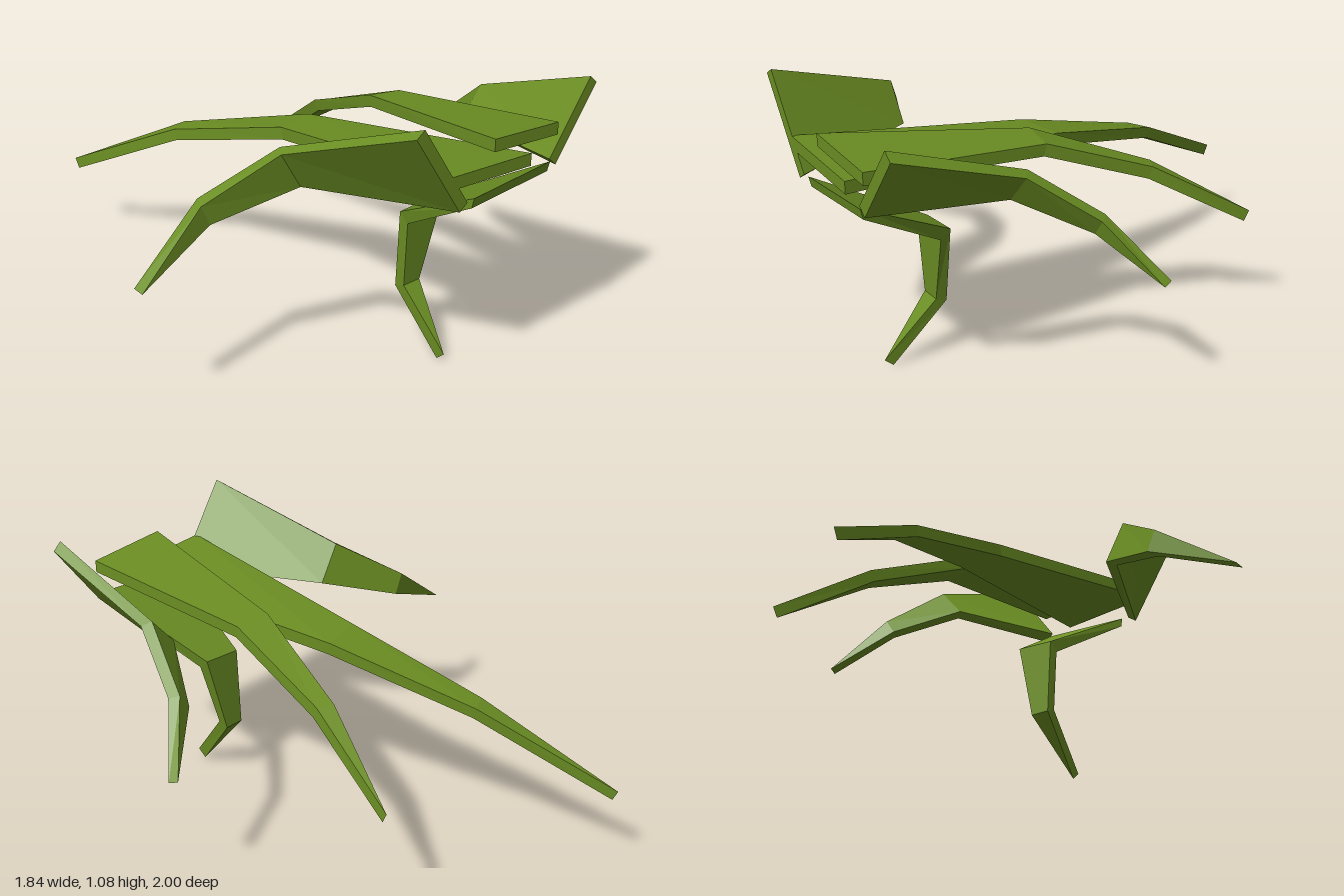
import * as THREE from 'three';

const material = new THREE.MeshStandardMaterial({ color: 0x6b8e23, flatShading: true });

// Builds one bent, tapering blade. Each row holds the two edge points
// of one face and the thickness vector to the opposite face.
function blade(name, rows) {
  const rings = rows.map(([a, b, n]) => {
    const add = p => p.map((v, i) => v + n[i]);
    return [a, b, add(b), add(a)];
  });
  const positions = [];
  const quad = (p, q, r, s) => positions.push(...p, ...q, ...r, ...p, ...r, ...s);
  for (let i = 0; i < rings.length - 1; i++) {
    const r = rings[i], t = rings[i + 1];
    for (let k = 0; k < 4; k++) {
      const m = (k + 1) % 4;
      quad(r[k], r[m], t[m], t[k]);
    }
  }
  // end caps
  const first = rings[0], last = rings[rings.length - 1];
  quad(first[3], first[2], first[1], first[0]);
  quad(...last);
  const geometry = new THREE.BufferGeometry();
  geometry.setAttribute('position', new THREE.Float32BufferAttribute(positions, 3));
  geometry.computeVertexNormals();
  const mesh = new THREE.Mesh(geometry, material);
  mesh.name = name;
  return mesh;
}

export function createModel() {
  const group = new THREE.Group();
  group.name = 'leafBlades';
  group.add(
    // long blade reaching furthest back
    blade('longBlade', [
      [[-0.095, 0.875, 1], [0.315, 0.85, 1], [0, -0.047, 0]],
      [[-0.03, 0.76, 0.09], [0.15, 0.755, 0.05], [0, -0.047, 0.01]],
      [[-0.105, 0.6, -0.47], [-0.02, 0.6, -0.51], [0, -0.042, 0.015]],
      [[-0.235, 0.34, -1], [-0.235, 0.34, -1], [0.003, -0.04, 0.02]],
    ]),
    // shorter blade lying on top
    blade('upperBlade', [
      [[0.12, 0.955, 1], [0.45, 0.93, 1], [0, -0.047, 0]],
      [[0.27, 0.86, 0.25], [0.41, 0.85, 0.27], [0, -0.045, 0.01]],
      [[0.4, 0.68, -0.19], [0.46, 0.68, -0.16], [0, -0.042, 0.02]],
      [[0.55, 0.44, -0.555], [0.55, 0.44, -0.555], [-0.003, -0.04, 0.02]],
    ]),
    // side blades standing on edge and curling outward
    blade('rightBlade', [
      [[-0.04, 0.735, 1], [-0.262, 1.055, 1], [0.037, 0.025, 0]],
      [[-0.3, 0.735, 0.5], [-0.39, 0.88, 0.5], [0.027, 0.01, -0.037]],
      [[-0.59, 0.63, 0.36], [-0.628, 0.71, 0.36], [0.02, 0.01, -0.045]],
      [[-0.92, 0.497, 0.41], [-0.92, 0.497, 0.41], [0, 0.005, -0.045]],
    ]),
    blade('leftBlade', [
      [[0.645, 1.03, 1], [0.45, 0.77, 1], [-0.035, 0.03, 0]],
      [[0.66, 0.868, 0.515], [0.56, 0.755, 0.515], [-0.033, 0.015, -0.025]],
      [[0.76, 0.69, 0.28], [0.718, 0.63, 0.28], [-0.027, 0.01, -0.032]],
      [[0.917, 0.47, 0.13], [0.917, 0.47, 0.13], [-0.012, 0.01, -0.035]],
    ]),
    // drooping blade that curls under
    blade('droopingBlade', [
      [[0.03, 0.765, 1], [0.42, 0.79, 1], [0, -0.04, -0.01]],
      [[0.11, 0.545, 0.585], [0.275, 0.555, 0.585], [0, -0.035, 0.04]],
      [[0.118, 0.235, 0.567], [0.2, 0.235, 0.567], [0, 0.015, 0.043]],
      [[0.145, 0, 0.765], [0.145, 0, 0.765], [0, 0.03, 0.035]],
    ]),
  );
  return group;
}
